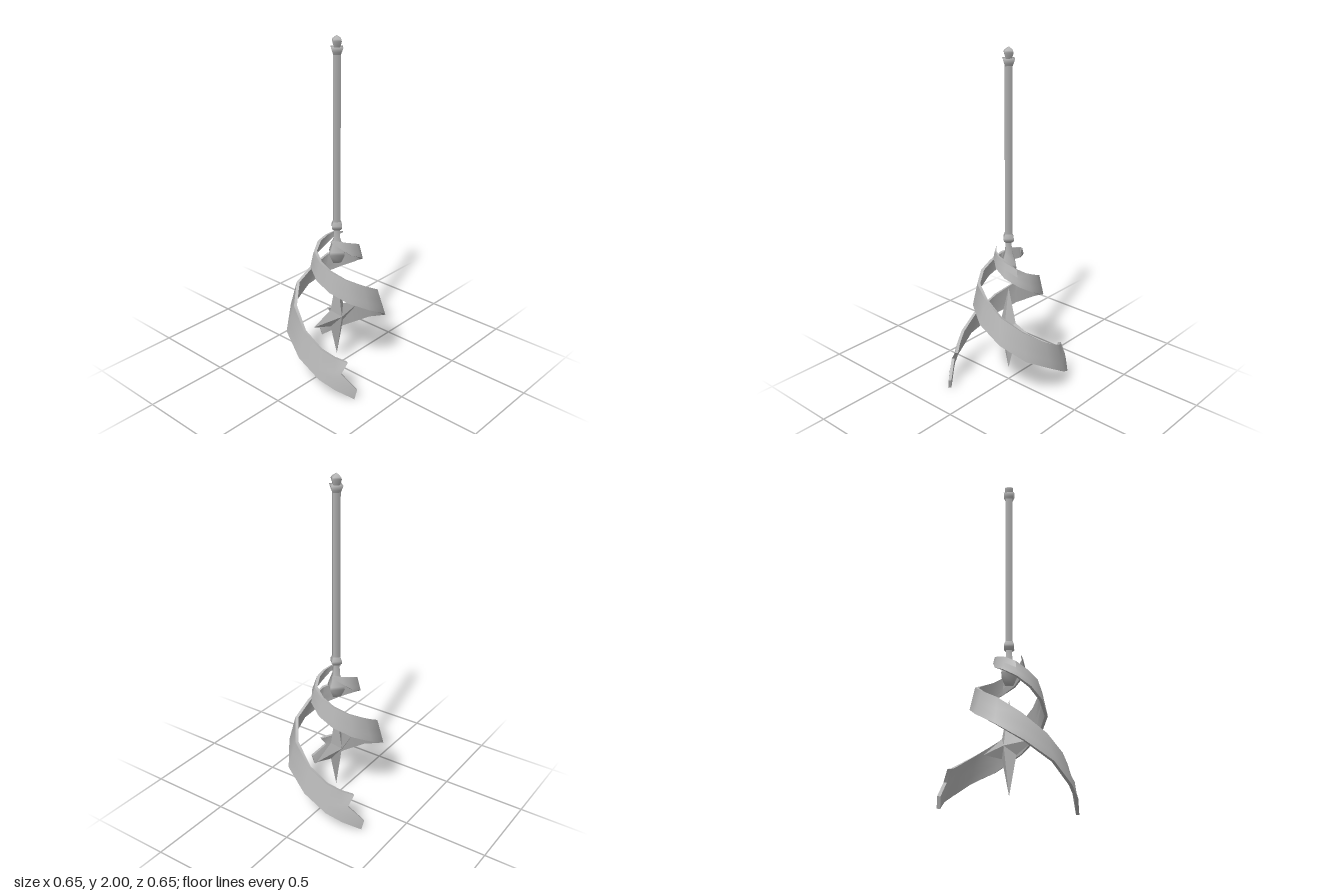
import * as THREE from 'three';
import { toCreasedNormals } from 'three/addons/utils/BufferGeometryUtils.js';

const metal = new THREE.MeshStandardMaterial({ color: 0xb4b4b4 });
metal.name = 'grey metal';

function part(geometry, name) {
  const mesh = new THREE.Mesh(geometry, metal);
  mesh.name = name;
  return mesh;
}

// Four-sided turned part from [radius, height] pairs, bottom to top
function turned(points, name) {
  return part(new THREE.LatheGeometry(points.map(p => new THREE.Vector2(...p)), 4), name);
}

// Four-pointed star with a ridge on the front and back
function starGeometry(y0) {
  const rim = [[0.2, 0], [0.055, 0.055], [0, 0.265], [-0.055, 0.055],
    [-0.2, 0], [-0.055, -0.055], [0, -0.265], [0.055, -0.055]];
  const pos = [];
  rim.forEach(([x, y], i) => {
    const [u, v] = rim[(i + 1) % 8];
    pos.push(0, y0, 0.04, x, y0 + y, 0, u, y0 + v, 0);
    pos.push(0, y0, -0.04, u, y0 + v, 0, x, y0 + y, 0);
  });
  const g = new THREE.BufferGeometry();
  g.setAttribute('position', new THREE.Float32BufferAttribute(pos, 3));
  g.computeVertexNormals();
  return g;
}

// Ribbon stations: angle, lower radius, lower height, upper radius, upper height
const stations = [
  [16, 0.079, 0.85, 0.077, 0.86], [58, 0.09, 0.815, 0.081, 0.855],
  [90, 0.107, 0.77, 0.09, 0.84], [122, 0.139, 0.735, 0.111, 0.82],
  [151, 0.16, 0.69, 0.137, 0.785], [180, 0.172, 0.64, 0.145, 0.745],
  [209, 0.187, 0.59, 0.163, 0.71], [240, 0.217, 0.535, 0.189, 0.665],
  [270, 0.246, 0.47, 0.2, 0.61], [301, 0.28, 0.385, 0.241, 0.54],
  [330, 0.309, 0.29, 0.261, 0.45], [360, 0.325, 0.2, 0.28, 0.355],
  [384.5, 0.341, 0.11, 0.297, 0.28], [400, 0.355, 0.06, 0.307, 0.24],
];
const rows = [0, 0.3, 0.55, 1];
// Swallowtail end: angle, radius, height for each row
const tail = [[417.5, 0.372, 0], [420, 0.374, 0.06], [406, 0.341, 0.155], [413, 0.322, 0.215]];

function ribbonGeometry() {
  const { lerp, degToRad } = THREE.MathUtils;
  const sections = stations.map(([a, r0, y0, r1, y1]) =>
    rows.map(t => [a, lerp(r0, r1, t), lerp(y0, y1, t)]));
  sections.push(tail);

  // Each loop climbs the outside and comes back down the inside
  const pos = [], index = [], n = rows.length * 2;
  sections.forEach((rim, i) => {
    const thick = Math.min(0.018, 0.003 + i * 0.005);
    const inside = rim.map(([a, r, y]) => [a, r - thick, y]).reverse();
    for (const [a, r, y] of [...rim, ...inside]) {
      const t = degToRad(a);
      pos.push(r * Math.cos(t), y, -r * Math.sin(t));
    }
  });
  const quad = (a, b, c, d) => index.push(a, b, c, a, c, d);
  for (let i = 0; i < sections.length - 1; i++) {
    for (let j = 0; j < n; j++) {
      const k = (j + 1) % n;
      quad(i * n + j, (i + 1) * n + j, (i + 1) * n + k, i * n + k);
    }
  }
  // Close both ends
  const e = (sections.length - 1) * n;
  for (let j = 0; j < rows.length - 1; j++) {
    quad(e + j, e + n - 1 - j, e + n - 2 - j, e + j + 1);
    quad(j + 1, n - 2 - j, n - 1 - j, j);
  }
  const g = new THREE.BufferGeometry();
  g.setAttribute('position', new THREE.Float32BufferAttribute(pos, 3));
  g.setIndex(index);
  return toCreasedNormals(g, 0.7);
}

export function createModel() {
  const model = new THREE.Group();
  model.name = 'staff';

  model.add(
    turned([[0, 0.7], [0.032, 0.7], [0.06, 0.755], [0.055, 0.772], [0.027, 0.84], [0.022, 0.905]], 'socket'),
    turned([[0.022, 0.9], [0.04, 0.915], [0.04, 0.93], [0.027, 0.955]], 'collar'),
    turned([[0.028, 0.95], [0.028, 1.91]], 'shaft'),
    turned([[0.028, 1.9], [0.034, 1.912], [0.045, 1.938], [0.022, 1.938]], 'crown'),
    turned([[0.022, 1.935], [0.035, 1.97], [0.03, 1.98], [0, 2]], 'finial'),
    part(starGeometry(0.345), 'star'),
  );

  // Two ribbons winding down around the star, half a turn apart
  const ribbon = ribbonGeometry();
  ['ribbon', 'oppositeRibbon'].forEach((name, i) => {
    const mesh = part(ribbon, name);
    mesh.rotation.y = i * Math.PI;
    model.add(mesh);
  });
  return model;
}
